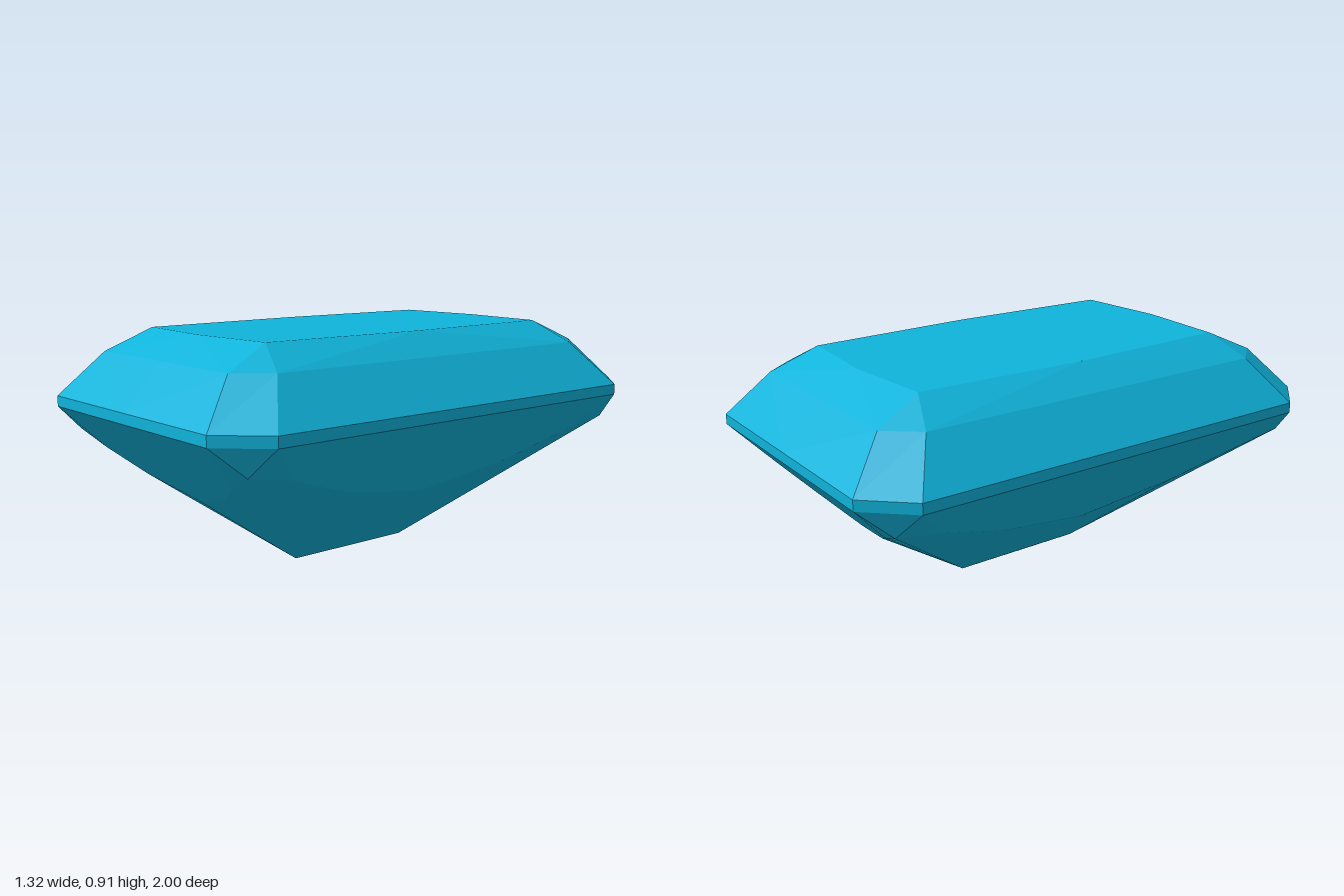
import * as THREE from 'three';

const material = new THREE.MeshStandardMaterial({ color: 0x10b4dc, flatShading: true });
const centre = new THREE.Vector3(0, 0.55, 0);

// Builds a mesh from the convex facets of one quadrant (+x, +z), mirrored into all four.
function facetMesh(name, facets) {
  const positions = [];
  for (const sx of [1, -1]) for (const sz of [1, -1]) {
    for (const facet of facets) {
      const pts = facet.map(([x, y, z]) => new THREE.Vector3(x * sx, y, z * sz));
      for (let i = 1; i < pts.length - 1; i++) {
        const tri = new THREE.Triangle(pts[0], pts[i], pts[i + 1]);
        const normal = tri.getNormal(new THREE.Vector3());
        const outward = tri.getMidpoint(new THREE.Vector3()).sub(centre);
        // keep every facet facing away from the middle of the stone
        const order = normal.dot(outward) > 0 ? [tri.a, tri.b, tri.c] : [tri.a, tri.c, tri.b];
        for (const p of order) positions.push(p.x, p.y, p.z);
      }
    }
  }
  const geometry = new THREE.BufferGeometry();
  geometry.setAttribute('position', new THREE.Float32BufferAttribute(positions, 3));
  geometry.computeVertexNormals();
  const mesh = new THREE.Mesh(geometry, material);
  mesh.name = name;
  return mesh;
}

// Quarter outline of the girdle at a given height, from front middle to side middle.
const girdleRing = (y) => [[0, y, 1], [0.51, y, 1], [0.66, y, 0.84], [0.66, y, 0]];

// Facets between two outlines with matching points.
const band = (a, b) => a.slice(1).map((p, i) => [a[i], p, b[i + 1], b[i]]);

export function createModel() {
  const group = new THREE.Group();
  group.name = 'cutGem';
  const top = girdleRing(0.66);
  const bottom = girdleRing(0.62);

  // Crown: steep main facets, shallow star facets, flat table
  const shoulder = [[0, 0.825, 0.85], [0.41, 0.825, 0.85], [0.51, 0.825, 0.73], [0.51, 0.825, 0]];
  const tableFront = [0, 0.908, 0.7], tableCorner = [0.365, 0.908, 0.67], tableSide = [0.39, 0.908, 0];
  group.add(facetMesh('crown', [
    ...band(top, shoulder),
    [shoulder[0], shoulder[1], tableFront],
    [shoulder[1], tableCorner, tableFront],
    [shoulder[1], shoulder[2], tableCorner],
    [shoulder[2], tableSide, tableCorner],
    [shoulder[2], shoulder[3], tableSide],
  ]));
  group.add(facetMesh('table', [[[0, 0.908, 0], tableFront, tableCorner, tableSide]]));

  // Girdle: narrow upright band
  group.add(facetMesh('girdle', band(bottom, top)));

  // Pavilion: curved lower edges of the main facets, fanned down to the keel
  const corner = [0.56, 0.515, 0.885];
  const front = [[0, 0.305, 0.71], [0.26, 0.37, 0.77], [0.425, 0.457, 0.85], corner];
  const side = [corner, [0.547, 0.48, 0.7], [0.462, 0.375, 0.4], [0.405, 0.305, 0]];
  const keelEnd = [0, 0, 0.275], keelSide = [0.065, 0.04, 0];
  const rim = [...front, ...side.slice(1)];
  group.add(facetMesh('pavilion', [
    [bottom[1], bottom[0], ...front],
    [bottom[1], bottom[2], corner],
    [bottom[2], ...side, bottom[3]],
    ...rim.slice(1).map((p, i) => [keelEnd, rim[i], p]),
    [keelEnd, side[3], keelSide],
  ]));

  // Keel: small facets along the bottom edge
  group.add(facetMesh('keel', [[keelEnd, keelSide, [0, 0, 0]]]));
  return group;
}
